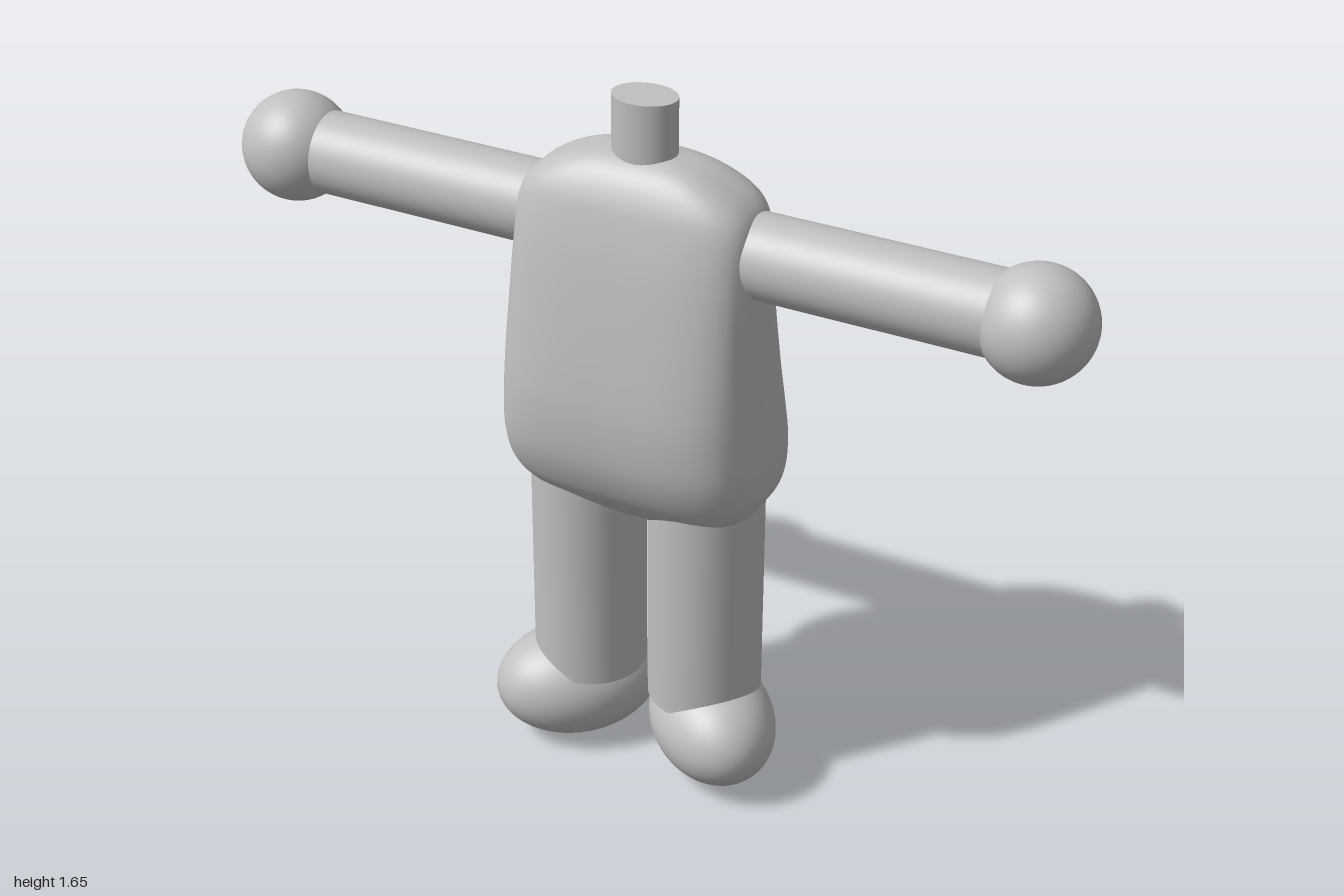
import * as THREE from 'three';

const grey = new THREE.MeshStandardMaterial({ color: 0xc0c0c0 });
grey.name = 'plain grey';

function add(parent, name, geometry, x = 0, y = 0, z = 0) {
  const mesh = new THREE.Mesh(geometry, grey);
  mesh.name = name;
  mesh.position.set(x, y, z);
  parent.add(mesh);
  return mesh;
}

// Torso: rounded-box sections lofted upward, with separate front and back depths
function torsoGeometry() {
  // [y, half width, front z, back z]
  const keys = [
    [0.64, 0.002, 0.0, -0.004], [0.65, 0.11, 0.045, -0.075], [0.675, 0.2, 0.085, -0.125],
    [0.72, 0.265, 0.132, -0.165], [0.77, 0.297, 0.168, -0.193], [0.85, 0.306, 0.197, -0.205],
    [0.95, 0.3, 0.206, -0.195], [1.05, 0.294, 0.2, -0.173], [1.2, 0.285, 0.18, -0.146],
    [1.32, 0.279, 0.16, -0.133], [1.41, 0.271, 0.139, -0.124], [1.46, 0.242, 0.122, -0.113],
    [1.5, 0.18, 0.097, -0.085], [1.525, 0.11, 0.064, -0.048], [1.54, 0.002, 0.012, 0.008],
  ];
  const spline = (col) => new THREE.CatmullRomCurve3(
    keys.map((k) => new THREE.Vector3(k[1], k[0], k[col])), false, 'catmullrom', 0.5);
  const front = spline(2), back = spline(3);
  const rows = 70, segs = 72, pos = [], index = [];
  for (let i = 0; i <= rows; i++) {
    const f = front.getPoint(i / rows), b = back.getPoint(i / rows);
    const zMid = (f.z + b.z) / 2, zHalf = (f.z - b.z) / 2;
    for (let j = 0; j < segs; j++) {
      const a = (j / segs) * Math.PI * 2, c = Math.cos(a), s = Math.sin(a);
      const n = s > 0 ? 3.8 : 2.9; // squarer belly, rounder back
      const r = (Math.abs(c) ** n + Math.abs(s) ** n) ** (-1 / n);
      pos.push(Math.max(f.x, 0) * r * c, f.y, zMid + zHalf * r * s);
      if (i < rows) {
        const p = i * segs + j, q = i * segs + ((j + 1) % segs);
        index.push(p, p + segs, q, q, p + segs, q + segs);
      }
    }
  }
  const g = new THREE.BufferGeometry();
  g.setAttribute('position', new THREE.Float32BufferAttribute(pos, 3));
  g.setIndex(index);
  g.computeVertexNormals();
  return g;
}

export function createModel() {
  const model = new THREE.Group();
  model.name = 'headless figure';

  add(model, 'torso', torsoGeometry());

  // Oval neck stub
  add(model, 'neck', new THREE.CylinderGeometry(0.073, 0.073, 0.175, 48), 0, 1.5675, 0.013)
    .scale.z = 0.78;

  for (const [side, s] of [['left', 1], ['right', -1]]) {
    // Arm held straight out, ending in a ball hand
    const arm = new THREE.CylinderGeometry(0.0925, 0.0925, 0.62, 48).rotateZ(Math.PI / 2);
    add(model, side + 'Arm', arm, s * 0.5, 1.348, 0.008);
    add(model, side + 'Hand', new THREE.SphereGeometry(0.124, 48, 32), s * 0.876, 1.348, 0.012);

    // Straight leg
    add(model, side + 'Leg', new THREE.CylinderGeometry(0.13, 0.13, 0.62, 48), s * 0.148, 0.51, 0.003);

    // Egg-shaped foot, toes turned outward
    const foot = add(model, side + 'Foot', new THREE.SphereGeometry(1, 48, 32), s * 0.176, 0.134, 0.017);
    foot.scale.set(0.14, 0.134, 0.195);
    foot.rotation.y = s * Math.PI / 4;
  }
  return model;
}
